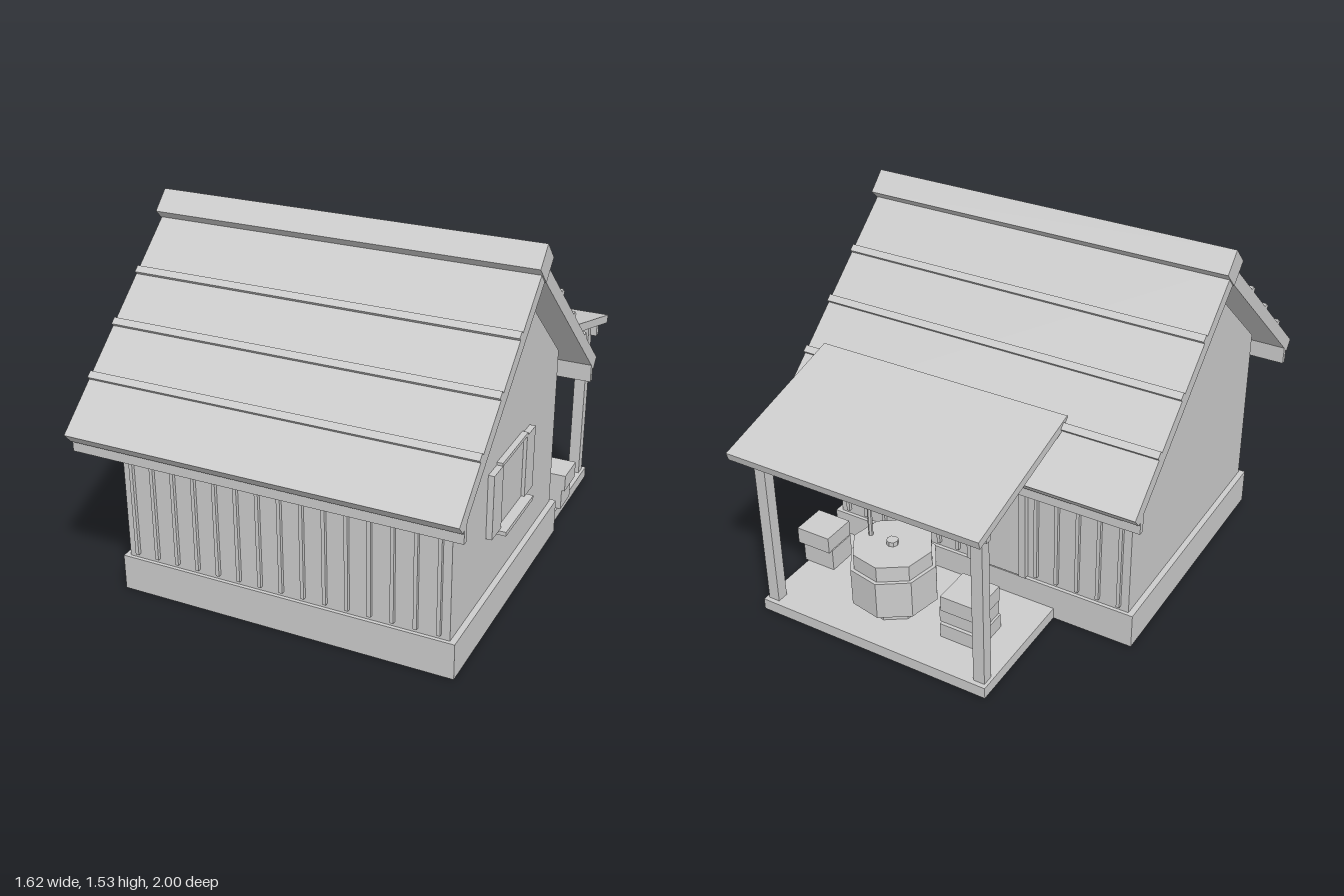
import * as THREE from 'three';

const material = new THREE.MeshStandardMaterial({ color: 0xcccccc, flatShading: true });

function add(parent, name, geometry, x = 0, y = 0, z = 0, rx = 0, ry = 0) {
  const mesh = new THREE.Mesh(geometry, material);
  mesh.name = name;
  mesh.position.set(x, y, z);
  mesh.rotation.set(rx, ry, 0);
  parent.add(mesh);
  return mesh;
}
const box = (w, h, d) => new THREE.BoxGeometry(w, h, d);
function group(parent, name, x = 0, y = 0, z = 0, ry = 0) {
  const g = new THREE.Group();
  g.name = name;
  g.position.set(x, y, z);
  g.rotation.y = ry;
  parent.add(g);
  return g;
}

const MID = 0.21; // z of the ridge

// Shuttered window facing local +z, origin on the wall at its centre
function addWindow(parent, name, x, y, z, ry) {
  const w = group(parent, name, x, y, z, ry);
  add(w, 'windowPane', box(0.26, 0.27, 0.016), 0, 0, 0.004);
  add(w, 'windowLintel', box(0.29, 0.015, 0.03), 0, 0.142, 0.01);
  add(w, 'windowSill', box(0.32, 0.018, 0.055), 0, -0.145, 0.0275);
  for (const s of [-1, 1]) add(w, 'shutter', box(0.1, 0.275, 0.025), s * 0.185, 0, 0.0125);
}

// One roof slope, falling toward local +z
function addSlope(parent, name, ry) {
  const g = group(parent, name, 0, 0, MID, ry);
  const a = Math.atan2(0.685, 0.79), t = 0.055;
  add(g, 'roofSlab', box(1.61, t, 1.045), 0, 1.1175 - Math.cos(a) * t / 2, 0.395 - Math.sin(a) * t / 2, a);
  for (const z of [0.235, 0.415, 0.595])
    add(g, 'roofBatten', box(1.61, 0.03, 0.03), 0, 1.46 - z * 0.867, z, a);
  add(g, 'eaveBoard', box(1.61, 0.08, 0.024), 0, 0.727, 0.73);
}

export function createModel() {
  const model = new THREE.Group();
  model.name = 'cabin';

  // Foundation and gabled body
  add(model, 'foundation', box(1.45, 0.155, 1.18), 0, 0.0775, MID);
  const gable = new THREE.Shape([[-0.575, 0.15], [0.575, 0.15], [0.575, 0.87], [0, 1.37], [-0.575, 0.87]]
    .map(([x, y]) => new THREE.Vector2(x, y)));
  const body = new THREE.ExtrudeGeometry(gable, { depth: 1.4, bevelEnabled: false }).translate(0, 0, -0.7);
  add(model, 'walls', body, 0, 0, MID, 0, Math.PI / 2);

  // Vertical wall battens on the front and back
  for (const s of [-1, 1])
    for (let i = 0; i < 15; i++)
      add(model, 'wallBatten', box(0.015, 0.695, 0.02), -0.658 + i * 0.094, 0.5225, MID + s * 0.58);

  // Main roof
  addSlope(model, 'frontSlope', 0);
  addSlope(model, 'backSlope', Math.PI);
  add(model, 'ridgeBeam', box(1.62, 0.106, 0.106), 0, 1.455, MID, Math.PI / 4);

  // Windows and back door
  addWindow(model, 'sideWindow', 0.7, 0.54, 0.205, Math.PI / 2);
  addWindow(model, 'backWindow', 0.34, 0.54, -0.365, Math.PI);
  const door = group(model, 'door', -0.1, 0, -0.365, Math.PI);
  add(door, 'doorPanel', box(0.22, 0.58, 0.016), 0, 0.45, 0.008);
  add(door, 'doorLintel', box(0.28, 0.03, 0.024), 0, 0.755, 0.012);
  for (const s of [-1, 1]) add(door, 'doorJamb', box(0.03, 0.585, 0.024), s * 0.125, 0.4525, 0.012);

  // Porch
  const porch = group(model, 'porch', 0.165);
  add(porch, 'porchFloor', box(1.07, 0.05, 0.555), 0, 0.025, -0.6475);
  for (const s of [-1, 1]) add(porch, 'porchPost', box(0.05, 0.76, 0.05), s * 0.497, 0.43, -0.88);
  add(porch, 'porchBeam', box(1.1, 0.06, 0.03), 0, 0.77, -0.902);
  const pa = Math.atan2(0.175, 0.645);
  add(porch, 'porchRoof', box(1.136, 0.036, 0.668), 0, 0.8925 - 0.018 * Math.cos(pa), -0.6775 + 0.018 * Math.sin(pa), -pa);

  // Eight-sided barrel with lid, knob and handle
  const barrel = group(model, 'barrel', 0.22, 0, -0.66);
  add(barrel, 'barrelFoot', new THREE.CylinderGeometry(0.13, 0.13, 0.06, 8), 0, 0.08, 0, 0, 0.2);
  add(barrel, 'barrelBody', new THREE.CylinderGeometry(0.186, 0.186, 0.17, 8), 0, 0.19, 0, 0, 0.2);
  add(barrel, 'barrelTop', new THREE.CylinderGeometry(0.17, 0.17, 0.07, 8), 0, 0.31, 0, 0, 0.2);
  add(barrel, 'barrelKnob', new THREE.CylinderGeometry(0.025, 0.025, 0.02, 8), 0, 0.355, 0);
  add(barrel, 'barrelHandle', new THREE.CylinderGeometry(0.01, 0.01, 0.16, 6), 0.11, 0.4, 0.005);

  // Stacked crates: x, y, z, width, height, depth
  for (const [x, y, z, w, h, d] of [
    [0.64, 0.1, -0.56, 0.15, 0.1, 0.13],
    [0.65, 0.183, -0.565, 0.16, 0.075, 0.15],
    [-0.15, 0.08, -0.67, 0.18, 0.07, 0.17],
    [-0.14, 0.15, -0.66, 0.18, 0.07, 0.16],
    [-0.15, 0.22, -0.67, 0.17, 0.07, 0.17],
  ]) add(model, 'crate', box(w, h, d), x, y, z);

  return model;
}
